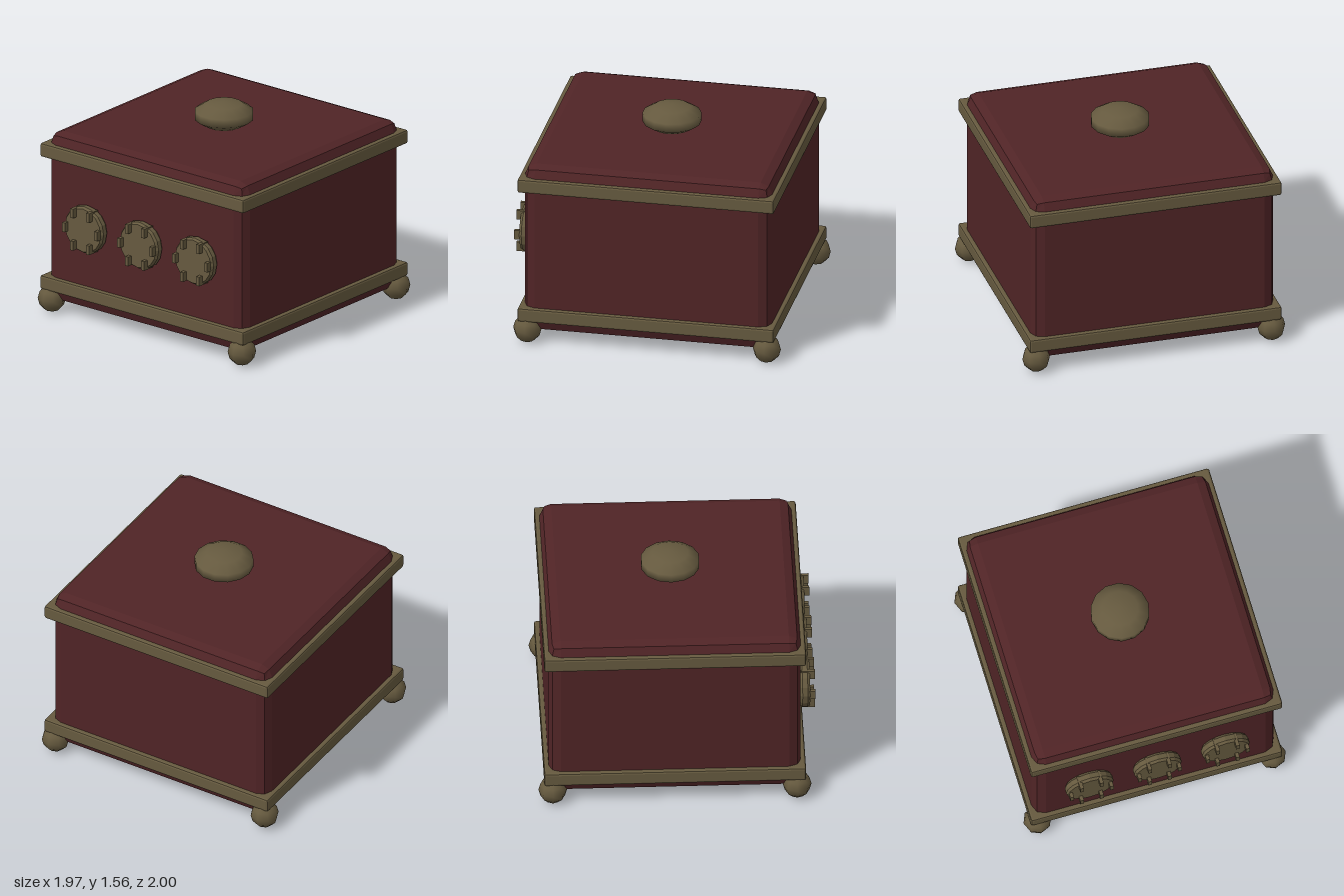
import * as THREE from 'three';
import { RoundedBoxGeometry } from 'three/addons/geometries/RoundedBoxGeometry.js';

const CENTER_Z = -0.02;

export function createModel() {
  const model = new THREE.Group();
  model.name = 'box';
  const red = new THREE.MeshStandardMaterial({ color: 0x502426 });
  red.name = 'dark red';
  const brass = new THREE.MeshStandardMaterial({ color: 0x665a3f });
  brass.name = 'dull brass';

  const add = (name, geometry, material, x, y, z, parent = model) => {
    const mesh = new THREE.Mesh(geometry, material);
    mesh.name = name;
    mesh.position.set(x, y, z);
    parent.add(mesh);
    return mesh;
  };

  // Box with two flat facets along every edge
  const bevelBox = (w, h, d, r) => {
    const g = new RoundedBoxGeometry(w, h, d, 1, r);
    g.computeVertexNormals();
    return g;
  };

  // Body and the two trim bands
  add('body', bevelBox(1.815, 1.3, 1.815, 0.085), red, 0, 0.73, CENTER_Z);
  const bandGeometry = bevelBox(1.885, 0.105, 1.885, 0.015);
  add('lowerBand', bandGeometry, brass, 0, 0.225, CENTER_Z);
  add('upperBand', bandGeometry, brass, 0, 1.24, CENTER_Z);

  // Flattened lid knob
  const knob = add('knob', new THREE.SphereGeometry(0.224, 14, 5), brass, 0, 1.463, CENTER_Z);
  knob.scale.y = 0.45;

  // Ball feet
  const footGeometry = new THREE.SphereGeometry(0.103, 8, 6);
  for (const sx of [-1, 1]) {
    for (const sz of [-1, 1]) {
      add((sz > 0 ? 'front' : 'back') + (sx > 0 ? 'Left' : 'Right') + 'Foot',
        footGeometry, brass, sx * 0.88, 0.103, CENTER_Z + sz * 0.88);
    }
  }

  // Three round dials, each with six short prongs
  const profile = [[0, 0], [0.165, 0], [0.178, 0.018], [0.178, 0.055], [0.165, 0.073], [0, 0.073]]
    .map(([r, y]) => new THREE.Vector2(r, y));
  const dialGeometry = new THREE.LatheGeometry(profile, 16).rotateX(Math.PI / 2).toNonIndexed();
  dialGeometry.computeVertexNormals();
  const prongGeometry = new THREE.BoxGeometry(0.027, 0.07, 0.1);
  for (const x of [-0.51, 0, 0.51]) {
    const dial = new THREE.Group();
    dial.name = 'dial';
    dial.position.set(x, 0.733, 0.89);
    add('dialDisc', dialGeometry, brass, 0, 0, 0, dial);
    for (const s of [-1, 1]) {
      add('prong', prongGeometry, brass, s * 0.149, 0, 0.06, dial);
      for (const t of [-1, 1]) add('prong', prongGeometry, brass, s * 0.074, t * 0.124, 0.06, dial);
    }
    model.add(dial);
  }
  return model;
}
